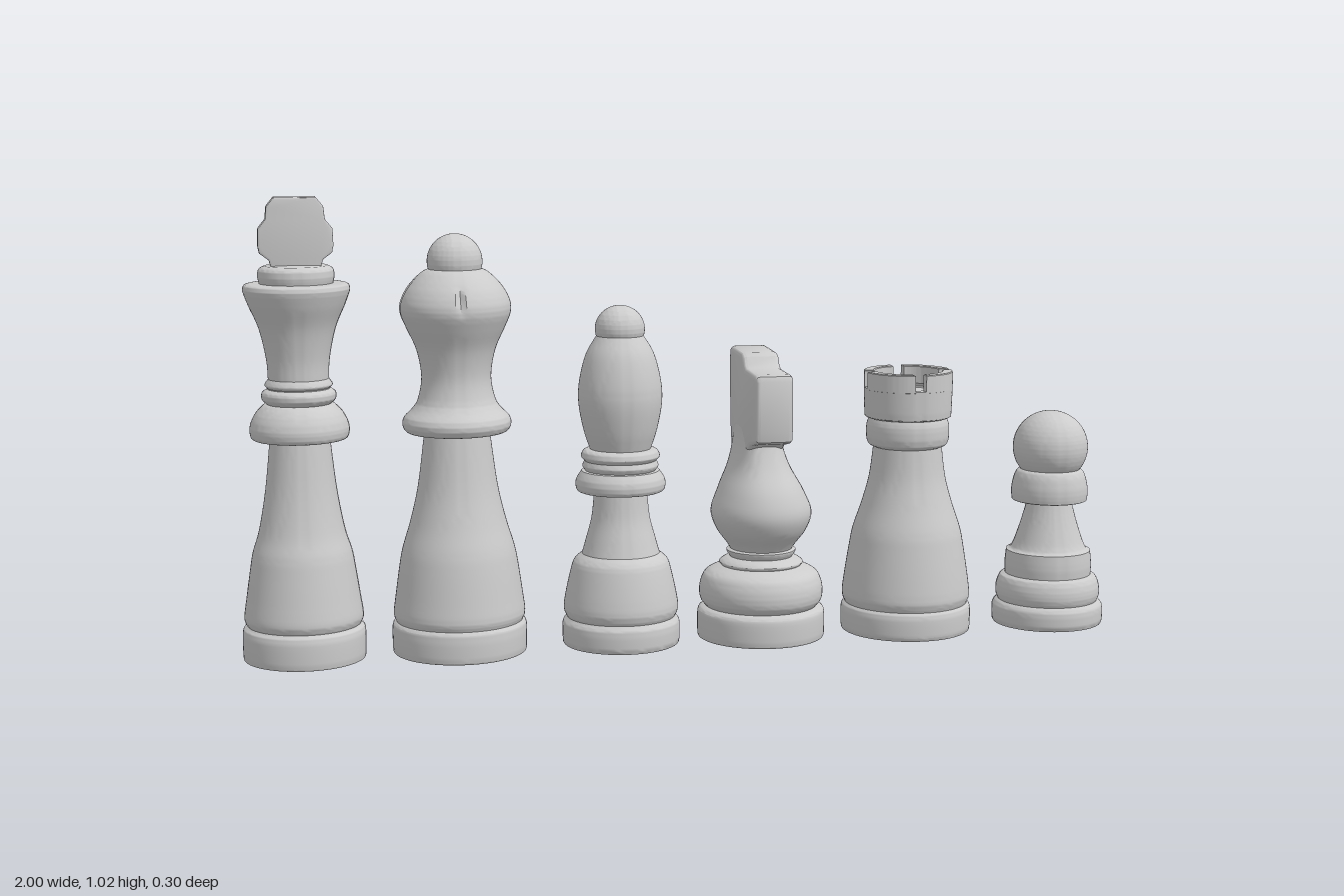
import * as THREE from 'three';
import { toCreasedNormals } from 'three/addons/utils/BufferGeometryUtils.js';

const material = new THREE.MeshStandardMaterial({ color: 0xcccccc });
const SEGMENTS = 64;

function addMesh(group, name, geometry, crease = 0.6) {
  const mesh = new THREE.Mesh(toCreasedNormals(geometry, crease), material);
  mesh.name = name;
  group.add(mesh);
  return mesh;
}

// Turned profile: each run is a list of [radius, y]; runs of 3+ points are smoothed, runs meet at sharp edges
function turned(runs) {
  const points = [];
  for (const run of runs) {
    const v = run.map(([r, y]) => new THREE.Vector2(r, y));
    const list = v.length > 2 ? new THREE.SplineCurve(v).getPoints((v.length - 1) * 5) : v;
    for (const p of list) {
      p.x = Math.max(p.x, 0);
      if (!points.length || points[points.length - 1].distanceTo(p) > 1e-4) points.push(p);
    }
  }
  return new THREE.LatheGeometry(points, SEGMENTS);
}

// Quarter-ball run from the neck up to the pole
function dome(radius, centerY, start, squash = 1) {
  const run = [];
  for (let i = 0; i <= 10; i++) {
    const a = start + (Math.PI / 2 - start) * i / 10;
    run.push([radius * Math.cos(a), centerY + radius * squash * Math.sin(a)]);
  }
  return run;
}

// Plinth disc with a slightly rounded rim
const plinth = (r, h) => [[[0, 0], [r - 0.003, 0]], [[r - 0.003, 0], [r, 0.008], [r, h - 0.012], [r - 0.008, h]]];

// Slab outlined in the x-y plane, centred on z = 0, with rounded edges
function slab(outline, thickness, bevel) {
  const shape = new THREE.Shape(outline.map(([x, y]) => new THREE.Vector2(x, y)));
  const geometry = new THREE.ExtrudeGeometry(shape, {
    depth: thickness - 2 * bevel, bevelThickness: bevel, bevelSize: bevel, bevelOffset: -bevel, bevelSegments: 3,
  });
  return geometry.translate(0, 0, bevel - thickness / 2);
}

function king(g) {
  addMesh(g, 'kingBody', turned([
    ...plinth(0.135, 0.075),
    [[0.125, 0.078], [0.131, 0.095], [0.125, 0.14], [0.116, 0.2], [0.109, 0.24], [0.094, 0.29], [0.078, 0.38], [0.066, 0.49]],
    [[0.066, 0.49], [0.1, 0.492], [0.108, 0.505], [0.107, 0.525], [0.095, 0.55], [0.078, 0.568]],
    [[0.07, 0.57], [0.08, 0.58], [0.08, 0.595], [0.068, 0.603]],
    [[0.068, 0.605], [0.074, 0.612], [0.068, 0.622]],
    [[0.066, 0.625], [0.069, 0.67], [0.083, 0.735], [0.104, 0.785], [0.114, 0.812]],
    [[0.114, 0.812], [0.116, 0.822], [0.11, 0.832], [0.085, 0.834]],
    [[0.08, 0.834], [0.083, 0.85], [0.08, 0.865], [0.068, 0.872]],
    [[0.068, 0.872], [0, 0.874]],
  ]));
  const half = [[0.052, 0.862], [0.058, 0.885], [0.078, 0.9], [0.081, 0.915], [0.08, 0.952], [0.064, 0.972], [0.061, 1.0], [0.045, 1.02]];
  const outline = [...half, ...half.map(([x, y]) => [-x, y]).reverse()];
  addMesh(g, 'kingFinial', slab(outline, 0.044, 0.004));
}

function queen(g) {
  const geometry = turned([
    ...plinth(0.15, 0.072),
    [[0.143, 0.075], [0.147, 0.09], [0.142, 0.13], [0.132, 0.2], [0.124, 0.24], [0.106, 0.3], [0.088, 0.38], [0.073, 0.495]],
    [[0.073, 0.495], [0.108, 0.497], [0.12, 0.512], [0.117, 0.53], [0.1, 0.548], [0.086, 0.57], [0.077, 0.62], [0.087, 0.68], [0.109, 0.73],
      [0.122, 0.763], [0.12, 0.79], [0.103, 0.822], [0.073, 0.852], [0.053, 0.86]],
    dome(0.061, 0.875, -0.35),
  ]);
  // Four small notches pressed into the crown shoulder
  const p = geometry.attributes.position;
  for (let i = 0; i < p.count; i++) {
    const x = p.getX(i), y = p.getY(i), z = p.getZ(i);
    const r = Math.hypot(x, z);
    const side = Math.min(Math.abs(x), Math.abs(z));
    if (r < 0.06 || y < 0.75 || y > 0.85 || side > 0.007) continue;
    const k = 1 - 0.1 * Math.max(0, 1 - Math.abs(y - 0.8) / 0.04);
    p.setXYZ(i, x * k, y, z * k);
  }
  addMesh(g, 'queenBody', geometry);
}

function bishop(g) {
  addMesh(g, 'bishopBody', turned([
    ...plinth(0.133, 0.06),
    [[0.123, 0.063], [0.13, 0.08], [0.127, 0.11], [0.115, 0.165], [0.106, 0.192], [0.088, 0.208]],
    [[0.088, 0.208], [0.079, 0.24], [0.066, 0.29], [0.06, 0.348]],
    [[0.06, 0.348], [0.093, 0.35], [0.101, 0.36], [0.1, 0.378], [0.088, 0.397]],
    [[0.08, 0.398], [0.086, 0.408], [0.081, 0.42]],
    [[0.081, 0.42], [0.089, 0.43], [0.083, 0.443], [0.069, 0.447]],
    [[0.069, 0.447], [0.083, 0.49], [0.094, 0.55], [0.092, 0.6], [0.077, 0.66], [0.053, 0.702]],
    dome(0.056, 0.717, -0.25, 0.95),
  ]));
}

function knight(g) {
  addMesh(g, 'knightBase', turned([
    ...plinth(0.146, 0.07),
    [[0.128, 0.073], [0.14, 0.09], [0.141, 0.12], [0.128, 0.15], [0.098, 0.165]],
    [[0.092, 0.167], [0.096, 0.174], [0.085, 0.182], [0.072, 0.187]],
    [[0.072, 0.187], [0.075, 0.205], [0, 0.206]],
  ]));

  // Swelling neck lofted from sections: y, centre z, half width x, half depth z
  const keys = [[0.19, 0, 0.062, 0.064], [0.215, 0, 0.077, 0.08], [0.25, 0, 0.102, 0.112], [0.29, -0.002, 0.115, 0.129],
    [0.34, -0.008, 0.096, 0.122], [0.4, -0.028, 0.064, 0.104], [0.46, -0.044, 0.046, 0.094], [0.53, -0.05, 0.04, 0.09]];
  const lower = new THREE.CatmullRomCurve3(keys.map(([y, c, w]) => new THREE.Vector3(w, y, c)));
  const depth = new THREE.CatmullRomCurve3(keys.map(([y, , w, d]) => new THREE.Vector3(d, y, w)));
  const rows = 32, around = 48, position = [], index = [];
  for (let i = 0; i <= rows; i++) {
    const t = i / rows, a = lower.getPoint(t), d = depth.getPoint(t).x;
    const power = 1 - 0.4 * THREE.MathUtils.smoothstep(t, 0.4, 1); // squarer towards the head
    for (let j = 0; j < around; j++) {
      const angle = j / around * Math.PI * 2, s = Math.sin(angle), c = Math.cos(angle);
      position.push(a.x * Math.sign(s) * Math.abs(s) ** power, a.y, a.z + d * Math.sign(c) * Math.abs(c) ** power);
      if (i === rows) continue;
      const m = i * around + j, n = i * around + (j + 1) % around;
      index.push(m, n, n + around, m, n + around, m + around);
    }
  }
  const neck = new THREE.BufferGeometry();
  neck.setAttribute('position', new THREE.Float32BufferAttribute(position, 3));
  neck.setIndex(index);
  addMesh(g, 'knightNeck', neck, 0.9);

  // Head block with muzzle to the front and raised crest behind
  const outline = [[0.115, 0.462], [0.126, 0.468], [0.13, 0.49], [0.131, 0.605], [0.125, 0.616], [0.11, 0.619], [0.015, 0.621], [0.002, 0.628],
    [-0.008, 0.645], [-0.025, 0.653], [-0.13, 0.656], [-0.142, 0.651], [-0.145, 0.635], [-0.144, 0.54], [-0.138, 0.47], [-0.128, 0.425],
    [0.02, 0.425], [0.06, 0.45]];
  addMesh(g, 'knightHead', slab(outline.slice().reverse(), 0.086, 0.01).rotateY(-Math.PI / 2));
}

function rook(g) {
  addMesh(g, 'rookBody', turned([
    ...plinth(0.15, 0.065),
    [[0.143, 0.068], [0.148, 0.085], [0.143, 0.13], [0.132, 0.2], [0.124, 0.24], [0.104, 0.3], [0.088, 0.36], [0.079, 0.43]],
    [[0.079, 0.43], [0.09, 0.436], [0.095, 0.45], [0.095, 0.48], [0.089, 0.497]],
    [[0.089, 0.497], [0.098, 0.5], [0.1, 0.51], [0.102, 0.568]],
    [[0.102, 0.568], [0.078, 0.568]],
    [[0.078, 0.568], [0.076, 0.552], [0, 0.552]],
  ]));
  // Four battlements parted by narrow slots
  const outer = 0.102, inner = 0.078, slot = 0.0125;
  for (let i = 0; i < 4; i++) {
    const a = i * Math.PI / 2, b = a + Math.PI / 2;
    const o = Math.asin(slot / outer), n = Math.asin(slot / inner);
    const shape = new THREE.Shape();
    shape.absarc(0, 0, outer, a + o, b - o, false);
    shape.absarc(0, 0, inner, b - n, a + n, true);
    const wall = new THREE.ExtrudeGeometry(shape, {
      depth: 0.039, bevelThickness: 0.002, bevelSize: 0.002, bevelOffset: -0.002, bevelSegments: 1, curveSegments: 16,
    });
    addMesh(g, 'battlement', wall.rotateX(-Math.PI / 2).translate(0, 0.565, 0));
  }
}

function pawn(g) {
  addMesh(g, 'pawnBody', turned([
    ...plinth(0.129, 0.052),
    [[0.116, 0.054], [0.121, 0.068], [0.12, 0.09], [0.112, 0.11], [0.1, 0.116]],
    [[0.1, 0.116], [0.101, 0.14], [0.098, 0.172]],
    [[0.098, 0.172], [0.086, 0.18], [0.071, 0.22], [0.059, 0.26], [0.052, 0.289]],
    [[0.052, 0.289], [0.083, 0.29], [0.088, 0.298], [0.088, 0.325], [0.078, 0.358], [0.06, 0.368]],
    dome(0.087, 0.416, -0.7, 0.98),
  ]));
}

export function createModel() {
  const set = new THREE.Group();
  set.name = 'chessPieces';
  const pieces = { king: [king, -0.865], queen: [queen, -0.52], bishop: [bishop, -0.152], knight: [knight, 0.175], rook: [rook, 0.522], pawn: [pawn, 0.871] };
  for (const [name, [build, x]] of Object.entries(pieces)) {
    const piece = new THREE.Group();
    piece.name = name;
    build(piece);
    piece.position.x = x;
    set.add(piece);
  }
  return set;
}
